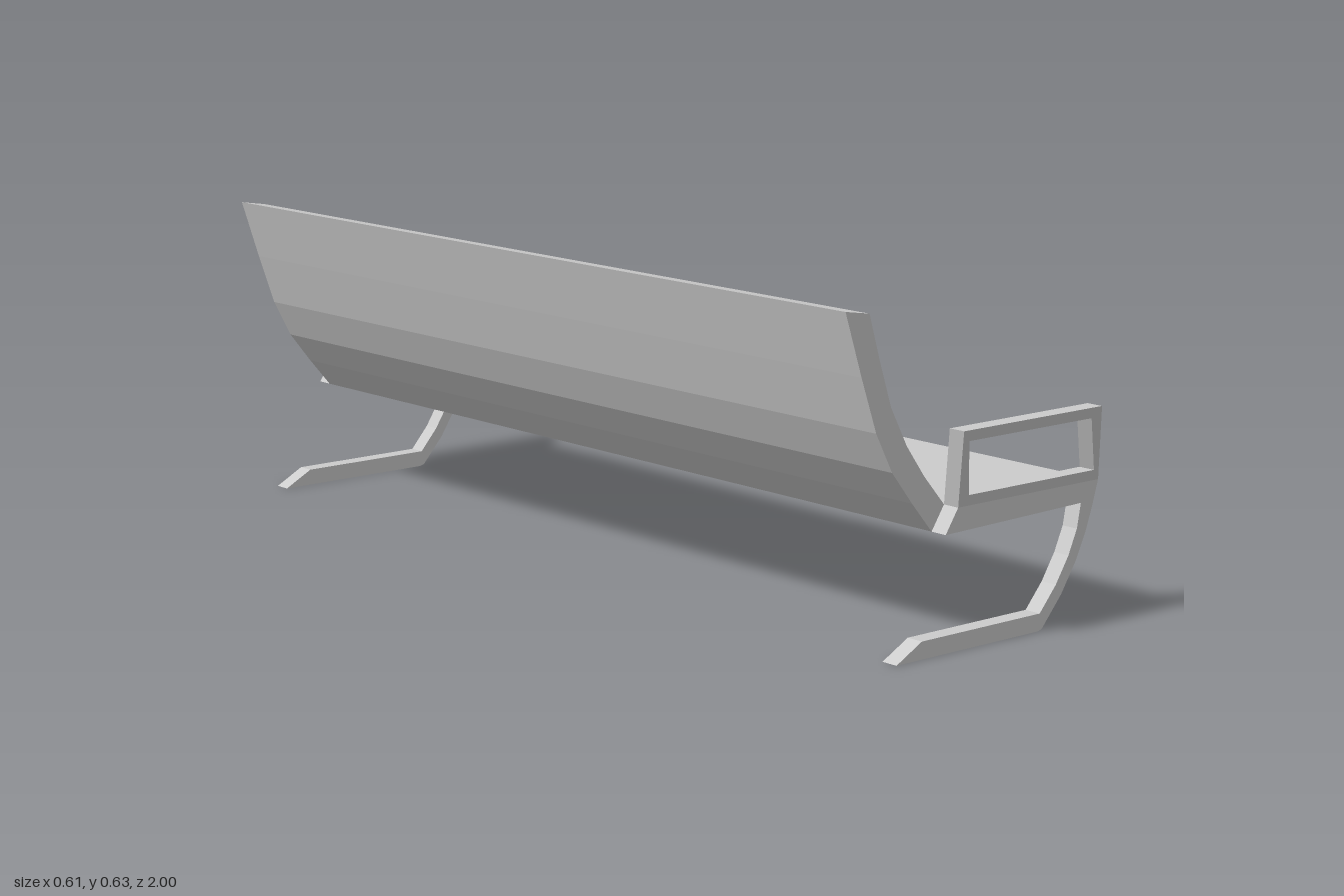
import * as THREE from 'three';

const material = new THREE.MeshStandardMaterial({ color: 0xcccccc, flatShading: true });
const HALF = 0.92;     // half length of the seat
const RAIL = 0.035;    // thickness of the end frames
const SEAT_Y = 0.262;  // height of the seat surface

const toPoints = (pairs) => pairs.map(([x, y]) => new THREE.Vector2(x, y));

// Extrudes a side profile along z; lean pushes z outwards with height above the seat
function profileMesh(name, outline, z, depth, lean = 0, hole = null) {
  const shape = new THREE.Shape(toPoints(outline));
  if (hole) shape.holes.push(new THREE.Path(toPoints(hole)));
  const geometry = new THREE.ExtrudeGeometry(shape, { depth, bevelEnabled: false });
  geometry.translate(0, 0, z);
  const p = geometry.attributes.position;
  for (let i = 0; i < p.count; i++) p.setZ(i, p.getZ(i) + (p.getY(i) - SEAT_Y) * lean);
  geometry.computeVertexNormals();
  const mesh = new THREE.Mesh(geometry, material);
  mesh.name = name;
  return mesh;
}

export function createModel() {
  const bench = new THREE.Group();
  bench.name = 'bench';

  // Seat slab
  bench.add(profileMesh('seat', [
    [-0.09, 0.217], [0.294, 0.224], [0.303, SEAT_Y], [-0.06, SEAT_Y],
  ], -HALF, 2 * HALF));

  // Curved backrest: rear edge upwards, then front edge downwards
  bench.add(profileMesh('backrest', [
    [-0.09, 0.217], [-0.14, 0.275], [-0.19, 0.337], [-0.23, 0.412], [-0.267, 0.515], [-0.307, 0.634],
    [-0.25, 0.625], [-0.224, 0.54], [-0.195, 0.454], [-0.155, 0.38], [-0.111, 0.32], [-0.06, SEAT_Y],
  ], -HALF, 2 * HALF));

  // Side rail, bowed leg and foot in one profile
  const leg = [
    [-0.06, SEAT_Y], [-0.09, 0.217], [0.26, 0.224], [0.251, 0.177], [0.23, 0.13], [0.198, 0.08],
    [0.157, 0.033], [-0.145, 0.033], [-0.207, 0], [0.152, 0], [0.163, 0.003], [0.213, 0.06],
    [0.25, 0.117], [0.275, 0.17], [0.291, 0.215], [0.305, SEAT_Y],
  ];
  // Armrest frame with its opening
  const arm = [[-0.06, SEAT_Y], [0.305, SEAT_Y], [0.26, 0.411], [-0.095, 0.411]];
  const opening = [[-0.04, 0.283], [0.286, 0.283], [0.24, 0.39], [-0.075, 0.39]];

  for (const [label, side] of [['left', 1], ['right', -1]]) {
    const z = side > 0 ? HALF : -HALF - RAIL;
    const end = new THREE.Group();
    end.name = label + 'End';
    end.add(profileMesh('legFrame', leg, z, RAIL));
    end.add(profileMesh('armrest', arm, z, RAIL, side * 0.302, opening));
    bench.add(end);
  }
  return bench;
}
